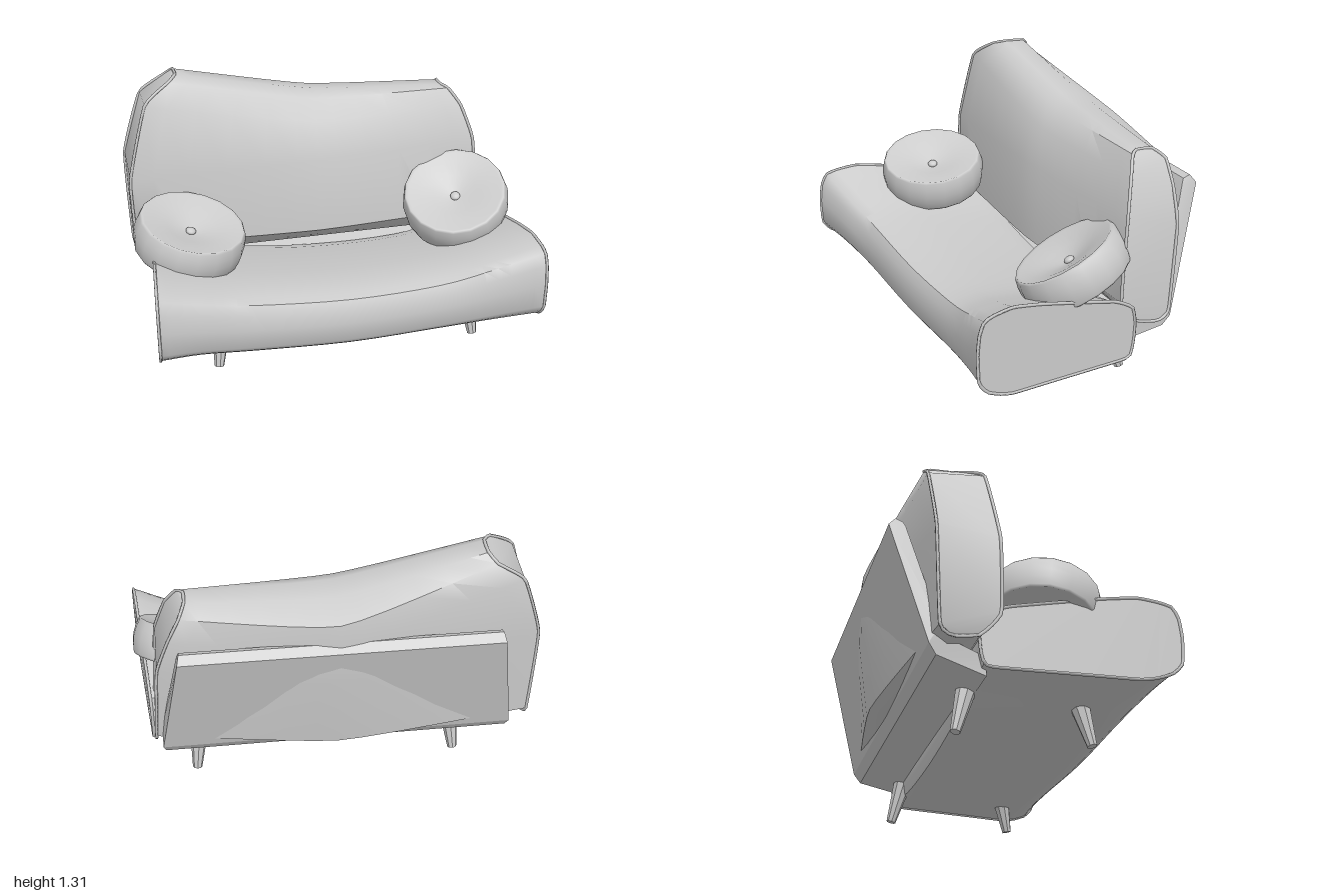
import * as THREE from 'three';
import { toCreasedNormals } from 'three/addons/utils/BufferGeometryUtils.js';

const material = new THREE.MeshStandardMaterial({ color: 0xcccccc });

function mesh(name, geometry) {
  const m = new THREE.Mesh(geometry, material);
  m.name = name;
  return m;
}

// Skin a list of rings running from -x to +x; both ends are closed in strips.
function loft(keys, steps, tension, crease) {
  const n = keys[0].length;
  const rails = keys[0].map((_, i) =>
    new THREE.CatmullRomCurve3(keys.map(k => k[i]), false, 'catmullrom', tension));
  const pos = [], index = [];
  for (let s = 0; s <= steps; s++) rails.forEach(r => pos.push(...r.getPoint(s / steps).toArray()));
  for (let s = 0; s < steps; s++) {
    for (let i = 0; i < n; i++) {
      const a = s * n + i, b = s * n + (i + 1) % n;
      index.push(a, a + n, b, b, a + n, b + n);
    }
  }
  const e = steps * n;
  for (let i = 0; i < n / 2 - 1; i++) {
    const a = i, b = i + 1, c = n - 2 - i, d = n - 1 - i;
    index.push(a, b, c, a, c, d, e + a, e + c, e + b, e + a, e + d, e + c);
  }
  const g = new THREE.BufferGeometry();
  g.setAttribute('position', new THREE.Float32BufferAttribute(pos, 3));
  g.setIndex(index);
  return toCreasedNormals(g, crease);
}

// Thin welt following the edge of a cushion end.
function piping(name, ring) {
  const path = new THREE.CatmullRomCurve3(ring, true, 'catmullrom', 0.2);
  return mesh(name, new THREE.TubeGeometry(path, 72, 0.008, 5, true));
}

// Ring from two matching (z, y) paths; x is given per point pair.
function ring(pathA, pathB, xs) {
  const v = path => path.map(([z, y], i) => new THREE.Vector3(xs[i], y, z));
  return [...v(pathA), ...v(pathB).reverse()];
}

// Sagging seat: one section, refitted at each station across the width.
function createSeat() {
  const top = [[0.585, 0.4], [0.575, 0.5], [0.55, 0.56], [0.5, 0.58], [0.4, 0.595],
    [0.24, 0.57], [-0.14, 0.485], [-0.245, 0.43], [-0.265, 0.35]];
  const bottom = [[0.58, 0.27], [0.56, 0.235], [0.53, 0.205], [0.47, 0.18], [0.4, 0.165],
    [0.2, 0.165], [-0.2, 0.165], [-0.245, 0.18], [-0.26, 0.25]];
  // x, front z, top y, bottom y
  const stations = [[-0.95, 0.665, 0.63, 0.225], [-0.75, 0.615, 0.555, 0.205],
    [-0.48, 0.56, 0.48, 0.155], [0, 0.535, 0.43, 0.118], [0.46, 0.515, 0.435, 0.118],
    [0.75, 0.54, 0.51, 0.14], [0.98, 0.58, 0.595, 0.165]];
  const rings = stations.map(([x, front, hi, lo]) =>
    ring(top, bottom, top.map(() => x)).map(p => {
      const t = (p.z + 0.26) / 0.845;
      return new THREE.Vector3(x * (0.92 + 0.08 * t),
        lo + (p.y - 0.165) / 0.43 * (hi - lo), -0.26 + t * (front + 0.26));
    }));
  const g = new THREE.Group();
  g.name = 'seat';
  g.add(mesh('seatCushion', loft(rings, 24, 0.5, 0.75)),
    piping('seatPipingRight', rings[0]), piping('seatPipingLeft', rings[6]));
  return g;
}

// Backrest: lopsided ends and a back that bulges in the middle.
function createBackrest() {
  const right = ring(
    [[-0.46, 1.3], [-0.5, 1.26], [-0.51, 1.17], [-0.49, 0.85], [-0.465, 0.36], [-0.4, 0.32]],
    [[-0.36, 1.305], [-0.3, 1.29], [-0.24, 1.2], [-0.195, 0.82], [-0.19, 0.45], [-0.28, 0.34]],
    [-0.7, -0.74, -0.87, -0.97, -0.96, -0.94]);
  const middle = ring(
    [[-0.5, 1.14], [-0.635, 1.07], [-0.645, 0.95], [-0.63, 0.74], [-0.575, 0.34], [-0.48, 0.31]],
    [[-0.38, 1.16], [-0.3, 1.135], [-0.23, 1.03], [-0.16, 0.85], [-0.14, 0.45], [-0.28, 0.34]],
    [0, 0, 0, 0, 0, 0]);
  const left = ring(
    [[-0.44, 1.12], [-0.5, 1.07], [-0.51, 0.95], [-0.505, 0.78], [-0.46, 0.36], [-0.4, 0.315]],
    [[-0.36, 1.125], [-0.32, 1.115], [-0.28, 1.03], [-0.235, 0.85], [-0.2, 0.45], [-0.28, 0.34]],
    [0.7, 0.73, 0.79, 0.85, 0.88, 0.88]);
  const g = new THREE.Group();
  g.name = 'backrest';
  g.add(mesh('backCushion', loft([right, middle, left], 12, 0.25, 0.75)),
    piping('backPipingRight', right), piping('backPipingLeft', left));
  return g;
}

// Bent board that carries the backrest.
function createFrame() {
  const inner = [[-0.22, 0.29], [-0.39, 0.34], [-0.44, 0.4], [-0.585, 0.93], [-0.597, 0.957]];
  const outer = [[-0.22, 0.2], [-0.455, 0.26], [-0.49, 0.31], [-0.664, 0.93], [-0.632, 0.97]];
  const side = s => ring(inner, outer, [0.82, 0.85, 0.86, 0.76, 0.75].map(x => s * x - 0.01));
  return mesh('backFrame', loft([side(-1), side(1)], 1, 0, 0.3));
}

// Round tufted pillow with a welted rim and a button on each face.
function createPillow(name, center, normal) {
  const half = [[0, 0.025], [0.04, 0.03], [0.12, 0.055], [0.2, 0.078], [0.243, 0.084],
    [0.256, 0.09], [0.264, 0.08], [0.274, 0.04], [0.278, 0]];
  const profile = [...half, ...half.slice(0, -1).reverse().map(([r, y]) => [r, -y])]
    .map(([r, y]) => new THREE.Vector2(r, y)).reverse();
  const g = new THREE.Group();
  g.name = name;
  g.add(mesh('pillowBody', new THREE.LatheGeometry(profile, 18)));
  for (const s of [-1, 1]) {
    const button = mesh('pillowButton', new THREE.SphereGeometry(0.026, 12, 8));
    button.scale.y = 0.6;
    button.position.y = s * 0.034;
    g.add(button);
  }
  g.position.set(...center);
  g.quaternion.setFromUnitVectors(new THREE.Vector3(0, 1, 0), new THREE.Vector3(...normal).normalize());
  return g;
}

// Tapered leg between a top and a foot point.
function createLeg(name, topPoint, foot) {
  const a = new THREE.Vector3(...foot), b = new THREE.Vector3(...topPoint);
  const dir = b.clone().sub(a);
  const g = new THREE.CylinderGeometry(0.05, 0.024, dir.length(), 8);
  const leg = mesh(name, toCreasedNormals(g, 0.5));
  leg.position.copy(a).add(b).multiplyScalar(0.5);
  leg.quaternion.setFromUnitVectors(new THREE.Vector3(0, 1, 0), dir.normalize());
  return leg;
}

export function createModel() {
  const model = new THREE.Group();
  model.name = 'sofa';
  model.add(createSeat(), createBackrest(), createFrame());
  model.add(createPillow('rightPillow', [-0.72, 0.62, 0.08], [0.23, 1, 0.16]));
  model.add(createPillow('leftPillow', [0.7, 0.6, -0.035], [-0.28, 1, 0.52]));
  for (const [side, x, lean] of [['Right', -0.635, 0.025], ['Left', 0.695, -0.025]]) {
    model.add(createLeg('frontLeg' + side, [x + lean, 0.22, 0.285], [x, 0.006, 0.333]));
    model.add(createLeg('backLeg' + side, [x + lean, 0.24, -0.25], [x, 0.006, -0.308]));
  }
  return model;
}
